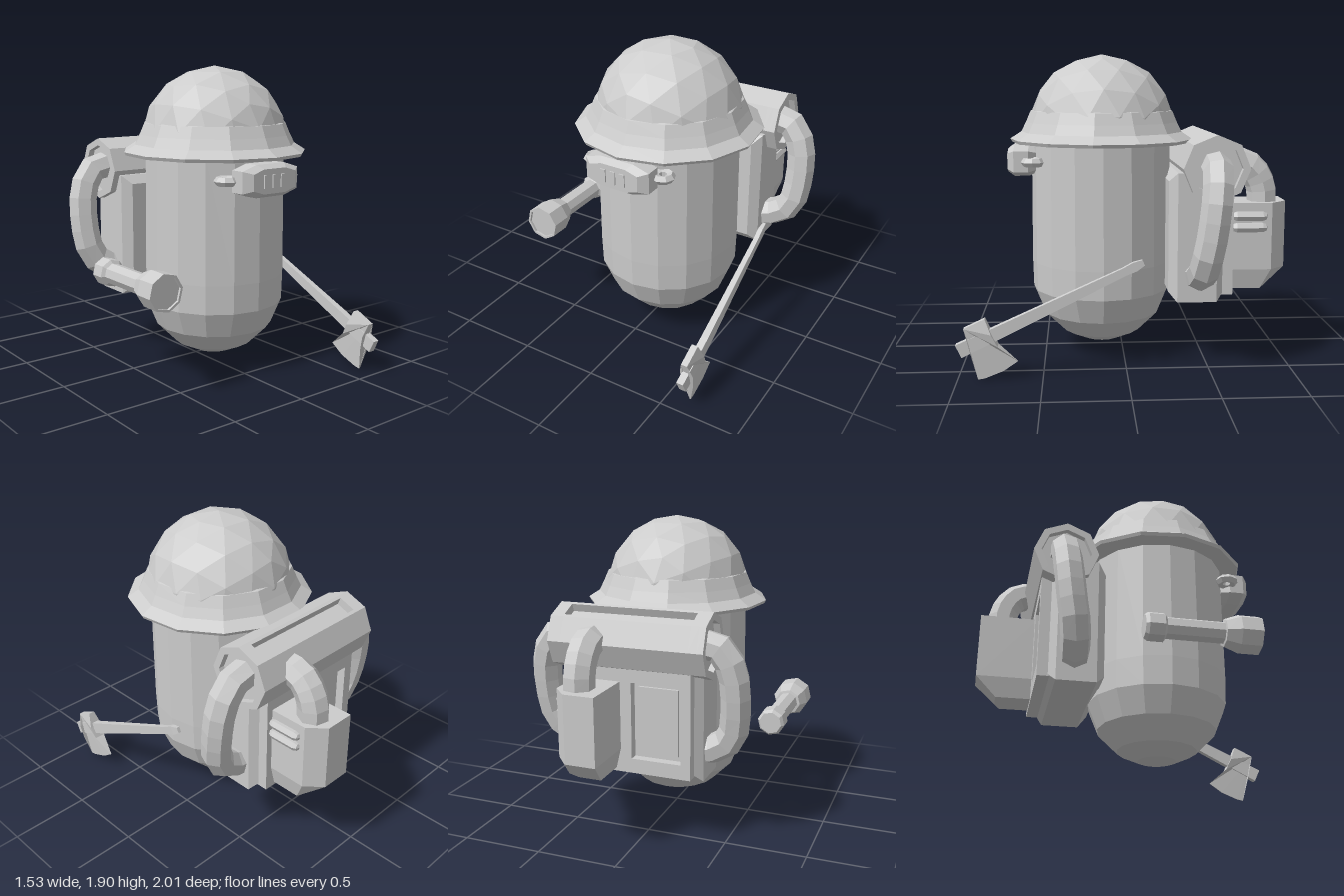
import * as THREE from 'three';

const grey = new THREE.MeshStandardMaterial({ color: 0xcccccc, flatShading: true });
const greyThin = new THREE.MeshStandardMaterial({ color: 0xcccccc, flatShading: true, side: THREE.DoubleSide });
const V = (x, y, z) => new THREE.Vector3(x, y, z);

function add(parent, name, geometry, x = 0, y = 0, z = 0, material = grey) {
  const mesh = new THREE.Mesh(geometry, material);
  mesh.name = name;
  mesh.position.set(x, y, z);
  parent.add(mesh);
  return mesh;
}

// Closed solid through rings of points, counter-clockwise seen from the last ring
function loft(rings) {
  const out = [];
  const tri = (...pts) => pts.forEach((p) => out.push(p.x, p.y, p.z));
  const n = rings[0].length;
  for (let i = 0; i < rings.length - 1; i++) {
    for (let j = 0; j < n; j++) {
      const k = (j + 1) % n;
      const [a, b, c, d] = [rings[i][j], rings[i][k], rings[i + 1][k], rings[i + 1][j]];
      tri(a, b, c);
      tri(a, c, d);
    }
  }
  const first = rings[0], last = rings[rings.length - 1];
  for (let j = 1; j < n - 1; j++) {
    tri(first[0], first[j + 1], first[j]);
    tri(last[0], last[j], last[j + 1]);
  }
  const g = new THREE.BufferGeometry();
  g.setAttribute('position', new THREE.Float32BufferAttribute(out, 3));
  g.computeVertexNormals();
  return g;
}

const lathe = (pts, sides) => new THREE.LatheGeometry(pts.map(([r, y]) => new THREE.Vector2(r, y)), sides);
const hose = (pts, radius) => new THREE.TubeGeometry(
  new THREE.CatmullRomCurve3(pts.map((p) => V(...p))), 9, radius, 7);
const rectangle = (x0, y0, x1, y1) => new THREE.Shape(
  [[x0, y0], [x1, y0], [x1, y1], [x0, y1]].map(([x, y]) => new THREE.Vector2(x, y)));
const octagon = (r) => Array.from({ length: 8 }, (_, i) =>
  new THREE.Vector2(r * Math.cos(i * Math.PI / 4), r * Math.sin(i * Math.PI / 4)));

function buildHelmet(root) {
  const helmet = new THREE.Group();
  helmet.name = 'helmet';
  helmet.position.set(0.045, 0, 0.13);
  root.add(helmet);
  const dome = new THREE.IcosahedronGeometry(0.46, 2);
  dome.rotateZ(0.2);
  const p = dome.attributes.position;
  for (let i = 0; i < p.count; i++) p.setY(i, Math.max(p.getY(i), -0.03));
  dome.computeVertexNormals();
  add(helmet, 'dome', dome, 0, 1.44, 0);
  add(helmet, 'brim', lathe([[0.43, 1.36], [0.57, 1.355], [0.58, 1.375], [0.51, 1.42],
    [0.48, 1.48], [0.45, 1.55], [0.42, 1.56]], 13), 0, 0, 0, greyThin);
}

function buildHeadlamp(root) {
  const lamp = new THREE.Group();
  lamp.name = 'headlamp';
  lamp.position.set(0.025, 1.243, 0);
  root.add(lamp);
  const outline = [[0.215, -0.065], [0.215, 0.065], [0.11, 0.097], [-0.11, 0.097],
    [-0.215, 0.065], [-0.215, -0.065], [-0.11, -0.097], [0.11, -0.097]];
  const ring = (z, s) => outline.map(([x, y]) => V(x * s, y * s, z));
  add(lamp, 'lampCase', loft([ring(0.54, 0.8), ring(0.59, 1), ring(0.68, 1), ring(0.72, 0.75)]));
  for (const x of [-0.068, -0.002, 0.062]) {
    add(lamp, 'lampSlot', new THREE.BoxGeometry(0.034, 0.08, 0.03), x, 0, 0.713);
  }
  for (const side of [-1, 1]) {
    const loop = add(lamp, 'lampLoop', new THREE.TorusGeometry(0.047, 0.028, 5, 8), side * 0.235, 0, 0.56);
    loop.rotation.x = Math.PI / 2;
  }
}

function buildPack(root) {
  const pack = new THREE.Group();
  pack.name = 'backpack';
  root.add(pack);
  // Chamfered case and a rear plate with a sunken panel
  const core = new THREE.ExtrudeGeometry(rectangle(-0.32, 0.46, 0.42, 1.14),
    { depth: 0.24, bevelSize: 0.055, bevelThickness: 0.05, bevelSegments: 1 });
  add(pack, 'packCase', core, 0, 0, -0.55);
  const plate = rectangle(-0.33, 0.44, 0.43, 1.14);
  plate.holes.push(rectangle(-0.27, 0.53, 0.04, 1.0));
  add(pack, 'packBackPlate', new THREE.ExtrudeGeometry(plate, { depth: 0.08, bevelEnabled: false }), 0, 0, -0.655);
  add(pack, 'packPanel', new THREE.BoxGeometry(0.25, 0.41, 0.03), -0.115, 0.765, -0.602);

  // Horizontal drum with a slot in its upper rear facet and hollow end rims
  const drum = new THREE.Group();
  drum.name = 'drum';
  drum.position.set(0.06, 1.225, -0.525);
  drum.rotation.y = 0.015;
  pack.add(drum);
  const section = (name, pts, x0, x1, hole) => {
    const shape = new THREE.Shape(pts);
    if (hole) shape.holes.push(new THREE.Path(hole));
    const g = new THREE.ExtrudeGeometry(shape, { depth: x1 - x0, bevelEnabled: false });
    g.rotateY(Math.PI / 2);
    add(drum, name, g, x0, 0, 0);
  };
  const full = octagon(0.2);
  const a = full[1].clone().lerp(full[2], 0.14), b = full[1].clone().lerp(full[2], 0.86);
  const inward = a.clone().add(b).normalize().multiplyScalar(-0.05);
  const notched = [full[0], full[1], a, a.clone().add(inward), b.clone().add(inward), b, ...full.slice(2)];
  section('drumMiddle', notched, -0.39, 0.4);
  section('drumEnd', full, -0.44, -0.39);
  section('drumEnd', full, 0.4, 0.44);
  section('drumRim', full, -0.48, -0.44, octagon(0.155));
  section('drumRim', full, 0.44, 0.48, octagon(0.155));

  // Side pod with a tapered base
  const pod = (y, pts) => pts.map(([x, back]) => V(x, y, -back));
  const wide = [[0.11, 0.64], [0.39, 0.64], [0.39, 0.9], [0.3, 1.0], [0.11, 1.0]];
  const narrow = [[0.14, 0.64], [0.36, 0.64], [0.36, 0.84], [0.28, 0.87], [0.14, 0.87]];
  add(pack, 'pod', loft([pod(0.46, narrow), pod(0.585, wide), pod(1.0, wide)]));
  for (const y of [0.85, 0.92]) {
    const pipe = add(pack, 'podPipe', new THREE.CapsuleGeometry(0.032, 0.16, 2, 6), 0.395, y, -0.76);
    pipe.rotation.x = Math.PI / 2;
  }

  // Hoses
  add(pack, 'podHose', hose([[0.27, 0.95, -0.86], [0.27, 1.1, -0.85], [0.27, 1.21, -0.78],
    [0.27, 1.24, -0.69], [0.27, 1.22, -0.55]], 0.095));
  for (const side of [-1, 1]) {
    add(pack, 'sideHose', hose([[0.42, 1.24, -0.53], [0.52, 1.22, -0.53], [0.595, 1.1, -0.52], [0.612, 0.85, -0.49],
      [0.58, 0.68, -0.46], [0.5, 0.6, -0.45], [0.36, 0.56, -0.44]].map(([x, y, z]) => [0.06 + side * x, y, z]), 0.092));
  }
}

function buildFlashlight(root) {
  const g = lathe([[0, -0.09], [0.07, -0.09], [0.086, -0.07], [0.086, 0.02], [0.065, 0.035], [0.065, 0.375],
    [0.083, 0.378], [0.115, 0.46], [0.115, 0.585], [0.1, 0.585], [0.1, 0.57], [0, 0.57]], 8);
  g.rotateX(Math.PI / 2);
  g.rotateZ(0.15);
  add(root, 'flashlight', g, -0.655, 0.655, 0, greyThin);
}

function buildAxe(root) {
  const axe = new THREE.Group();
  axe.name = 'axe';
  axe.position.x = 0.635;
  root.add(axe);
  // Head outline as z, y and half thickness
  const outline = [[0.957, 0.316, 0.02], [0.93, 0.23, 0.043], [0.91, 0.14, 0.035], [0.88, 0.003, 0.003],
    [0.84, 0.01, 0.003], [0.73, 0.053, 0.003], [0.645, 0.112, 0.003], [0.76, 0.21, 0.035],
    [0.796, 0.283, 0.043], [0.833, 0.374, 0.02]];
  add(axe, 'axeHead', loft([-1, 1].map((s) => outline.map(([z, y, t]) => V(s * t, y, z)))), 0, 0, 0, greyThin);
  // Handle, thicker toward the head
  const dir = V(0, 0.18 - 0.68, 0.99 + 0.07).normalize();
  const up = V(0, dir.z, -dir.y);
  const ring = (t, w, h, x) => [[-w, -h], [w, -h], [w, h], [-w, h]].map(([dx, dy]) =>
    V(x + dx, 0.68, -0.07).addScaledVector(dir, t).addScaledVector(up, dy));
  add(axe, 'axeHandle', loft([ring(-0.025, 0.01, 0.018, -0.015), ring(0.03, 0.015, 0.028, -0.015),
    ring(0.1, 0.015, 0.024, -0.013), ring(0.85, 0.022, 0.037, 0), ring(1.17, 0.022, 0.042, 0)]));
}

export function createModel() {
  const root = new THREE.Group();
  root.name = 'roundedExplorer';
  // Capsule-like body
  add(root, 'body', lathe([[0, 0.06], [0.12, 0.075], [0.25, 0.135], [0.375, 0.26], [0.44, 0.42],
    [0.445, 0.6], [0.44, 1.38], [0, 1.4]], 16), 0.04, 0, 0.135);
  buildHelmet(root);
  buildHeadlamp(root);
  buildPack(root);
  buildFlashlight(root);
  buildAxe(root);
  return root;
}
